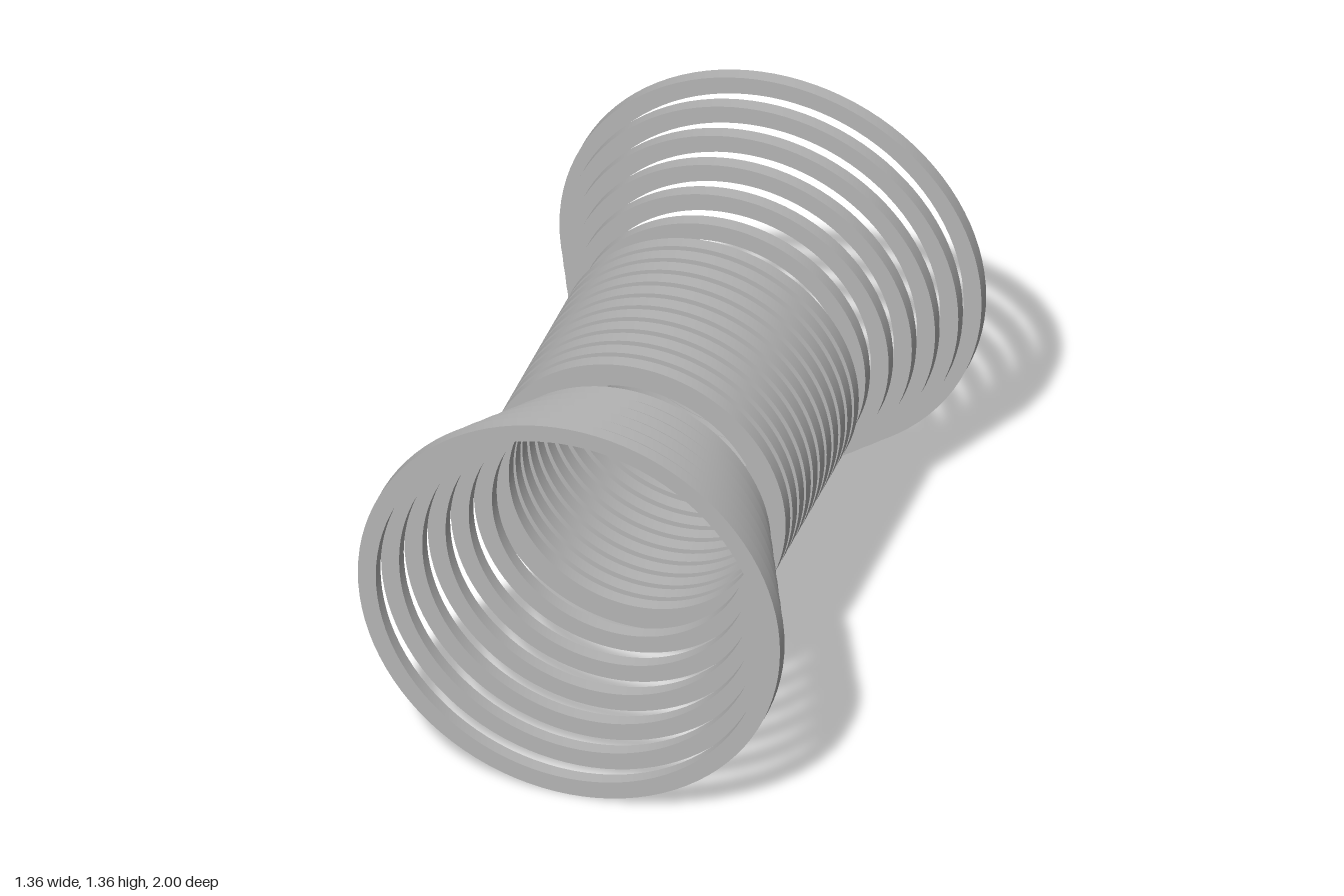
import * as THREE from 'three';
import { toCreasedNormals } from 'three/addons/utils/BufferGeometryUtils.js';

const WIDTH = 0.045; // ring depth along z
const AXIS_Y = 0.68; // height of the shared axis

// Square-section ring with smooth round walls and sharp rims, axis along z
function ringGeometry(inner, outer) {
  const h = WIDTH / 2;
  const profile = [[inner, -h], [outer, -h], [outer, h], [inner, h], [inner, -h]]
    .map(([r, y]) => new THREE.Vector2(r, y));
  const geometry = new THREE.LatheGeometry(profile, 96);
  geometry.rotateX(Math.PI / 2);
  return toCreasedNormals(geometry, Math.PI / 6);
}

export function createModel() {
  const model = new THREE.Group();
  model.name = 'ringSpool';
  const grey = new THREE.MeshStandardMaterial({ color: 0xb4b4b4 });
  grey.name = 'grey';

  const addRing = (parent, geometry, name, z) => {
    const ring = new THREE.Mesh(geometry, grey);
    ring.name = name;
    ring.position.set(0, AXIS_Y, z);
    parent.add(ring);
  };

  // Central barrel of eleven equal rings
  const barrel = new THREE.Group();
  barrel.name = 'barrel';
  const barrelGeometry = ringGeometry(0.408, 0.484);
  for (let i = -5; i <= 5; i++) addRing(barrel, barrelGeometry, 'barrelRing', i * 0.0665);
  model.add(barrel);

  // Flared ends, six widening rings mirrored front and back
  const front = new THREE.Group();
  const back = new THREE.Group();
  front.name = 'frontFlare';
  back.name = 'backFlare';
  for (let i = 0; i < 6; i++) {
    const outer = 0.471 + i * 0.0418;
    const geometry = ringGeometry(outer - 0.058, outer);
    const z = 0.48 + i * 0.0995;
    addRing(front, geometry, 'flareRing', z);
    addRing(back, geometry, 'flareRing', -z);
  }
  model.add(front, back);
  return model;
}
